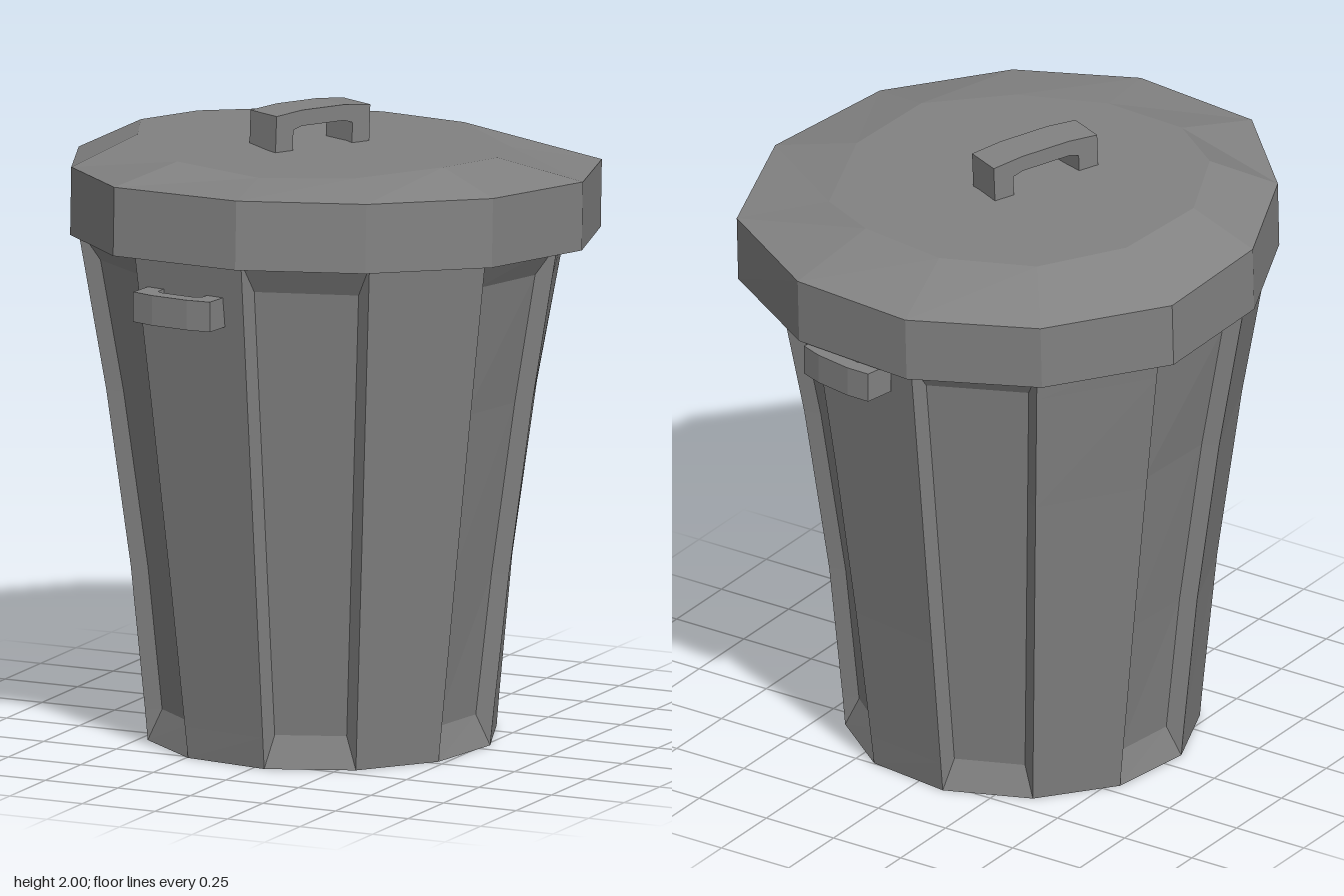
import * as THREE from 'three';

const material = new THREE.MeshStandardMaterial({ color: 0x828282, side: THREE.DoubleSide });
const SIDES = 12;

// Collects flat triangles, skipping collapsed ones
class Faces {
  constructor() { this.points = []; }
  tri(a, b, c) {
    if (a.distanceTo(b) < 1e-5 || b.distanceTo(c) < 1e-5 || a.distanceTo(c) < 1e-5) return;
    for (const p of [a, b, c]) this.points.push(p.x, p.y, p.z);
  }
  quad(a, b, c, d) { this.tri(a, b, c); this.tri(a, c, d); }
  // Band between two closed rings, lower then upper
  band(low, high) {
    low.forEach((p, i) => {
      const j = (i + 1) % low.length;
      this.quad(low[j], p, high[i], high[j]);
    });
  }
  mesh(name) {
    const g = new THREE.BufferGeometry();
    g.setAttribute('position', new THREE.Float32BufferAttribute(this.points, 3));
    g.computeVertexNormals();
    const m = new THREE.Mesh(g, material);
    m.name = name;
    return m;
  }
}

// Tapered bin body with every other side panel recessed
function createBody() {
  const levels = [0, 0.1, 0.55, 1.1, 1.51, 1.61];
  const f = new Faces();

  // Corner k at a level; "inward" is +1 or -1 for the recessed copy of the corner
  const corner = (k, level, inward = 0) => {
    const y = levels[level];
    const t = y / 1.6;
    const deg = -7 + 30 * k;
    const a = THREE.MathUtils.degToRad(deg);
    let r = 0.55 + 0.22 * t;
    // Shallow dents halfway up two opposite sides
    for (const d of [157, 327]) {
      const off = ((deg - d + 540) % 360) - 180;
      r -= 0.03 * Math.exp(-((off / 32) ** 2)) * Math.sin(Math.PI * Math.min(t, 1));
    }
    const recessed = inward !== 0 && level > 0 && level < levels.length - 1;
    const side = recessed ? 0.022 * inward : 0;
    if (recessed) r -= 0.05;
    const x = -0.03 + r * Math.cos(a) - side * Math.sin(a);
    const z = 0.01 + r * Math.sin(a) + side * Math.cos(a);
    return new THREE.Vector3(x, y + 0.055 * t * z, z);
  };

  for (let k = 0; k < SIDES; k++) {
    for (let l = 0; l < levels.length - 1; l++) {
      const columns = [[k, 0], [k + 1, 0]];
      if (k % 2 === 0) columns.splice(1, 0, [k, 1], [k + 1, -1]);
      for (let c = 0; c < columns.length - 1; c++) {
        const [ka, ia] = columns[c], [kb, ib] = columns[c + 1];
        f.quad(corner(kb, l, ib), corner(ka, l, ia), corner(ka, l + 1, ia), corner(kb, l + 1, ib));
      }
    }
    // Bottom
    f.tri(corner(k, 0), corner(k + 1, 0), new THREE.Vector3(-0.03, 0, 0.01));
  }
  return f.mesh('body');
}

// Slightly tilted, dented lid: rim corners [x, z], crown corners [x, z, y]
function createLid() {
  const rim = [[0.81, -0.11], [0.72, 0.34], [0.44, 0.66], [0.07, 0.82], [-0.37, 0.78], [-0.66, 0.49],
    [-0.82, 0.11], [-0.8, -0.31], [-0.53, -0.64], [-0.14, -0.81], [0.28, -0.78], [0.66, -0.55]];
  const crown = [[0.54, -0.06, 1.865], [0.5, 0.24, 1.89], [0.3, 0.47, 1.88], [0.03, 0.58, 1.878],
    [-0.27, 0.54, 1.893], [-0.5, 0.35, 1.92], [-0.62, 0.08, 1.902], [-0.57, -0.22, 1.875],
    [-0.39, -0.45, 1.855], [-0.1, -0.56, 1.85], [0.2, -0.52, 1.853], [0.43, -0.38, 1.825]];
  const low = rim.map(([x, z]) => new THREE.Vector3(x, 1.59 + 0.006 * x + 0.058 * z, z + 0.008));
  const high = rim.map(([x, z]) => new THREE.Vector3(x, 1.803 + 0.01 * x + 0.064 * z, z));
  const top = crown.map(([x, z, y]) => new THREE.Vector3(x, y, z));
  const centre = new THREE.Vector3(0, 1.872, 0);
  const under = new THREE.Vector3(0, 1.59, 0);
  const sides = new Faces();
  const cap = new Faces();
  sides.band(low, high);
  sides.band(high, top);
  for (let i = 0; i < SIDES; i++) {
    const j = (i + 1) % SIDES;
    cap.tri(top[j], top[i], centre);
    sides.tri(low[i], low[j], under);
  }
  // The crown is shaded as one even face
  const crownMesh = cap.mesh('lidCrown');
  const normals = crownMesh.geometry.attributes.normal;
  const up = new THREE.Vector3(0.02, 1, -0.05).normalize();
  for (let i = 0; i < normals.count; i++) normals.setXYZ(i, up.x, up.y, up.z);

  const lid = new THREE.Group();
  lid.name = 'lid';
  lid.add(sides.mesh('lidRim'), crownMesh);
  return lid;
}

// Arched grip with two feet: profile in length and height, extruded across its width
function createHandle(name, length, height, width, thick, foot, arch) {
  const h = length / 2, b = height - arch, q = h * 0.45;
  const shape = new THREE.Shape([
    [-h, 0], [-h + foot, 0], [-h + foot, b - thick], [-q, height - thick], [q, height - thick],
    [h - foot, b - thick], [h - foot, 0], [h, 0], [h, b], [q, height], [-q, height], [-h, b],
  ].map(([x, y]) => new THREE.Vector2(x, y)));
  const g = new THREE.ExtrudeGeometry(shape, { depth: width, bevelEnabled: false });
  g.translate(0, 0, -width / 2);
  const m = new THREE.Mesh(g, material);
  m.name = name;
  return m;
}

export function createModel() {
  const group = new THREE.Group();
  group.name = 'trashCan';
  group.add(createBody(), createLid());

  // Grip on the lid, set askew
  const grip = createHandle('lidHandle', 0.38, 0.134, 0.125, 0.05, 0.07, 0.01);
  grip.rotation.set(0, Math.atan2(0.35, 0.154), -0.04, 'YXZ');
  grip.position.set(-0.06, 1.862, 0.04);
  group.add(grip);

  // Carrying handles on the front and back ribs
  for (const [name, deg, x, y, z] of [
    ['frontHandle', 96, -0.148, 1.48, 0.708],
    ['backHandle', 281, 0.1, 1.492, -0.708],
  ]) {
    const handle = createHandle(name, 0.28, 0.115, 0.095, 0.05, 0.06, 0.014);
    handle.rotation.x = Math.PI / 2;
    const mount = new THREE.Group();
    mount.name = name + 'Mount';
    mount.rotation.y = Math.PI / 2 - THREE.MathUtils.degToRad(deg);
    mount.position.set(x, y, z);
    mount.add(handle);
    group.add(mount);
  }
  return group;
}
